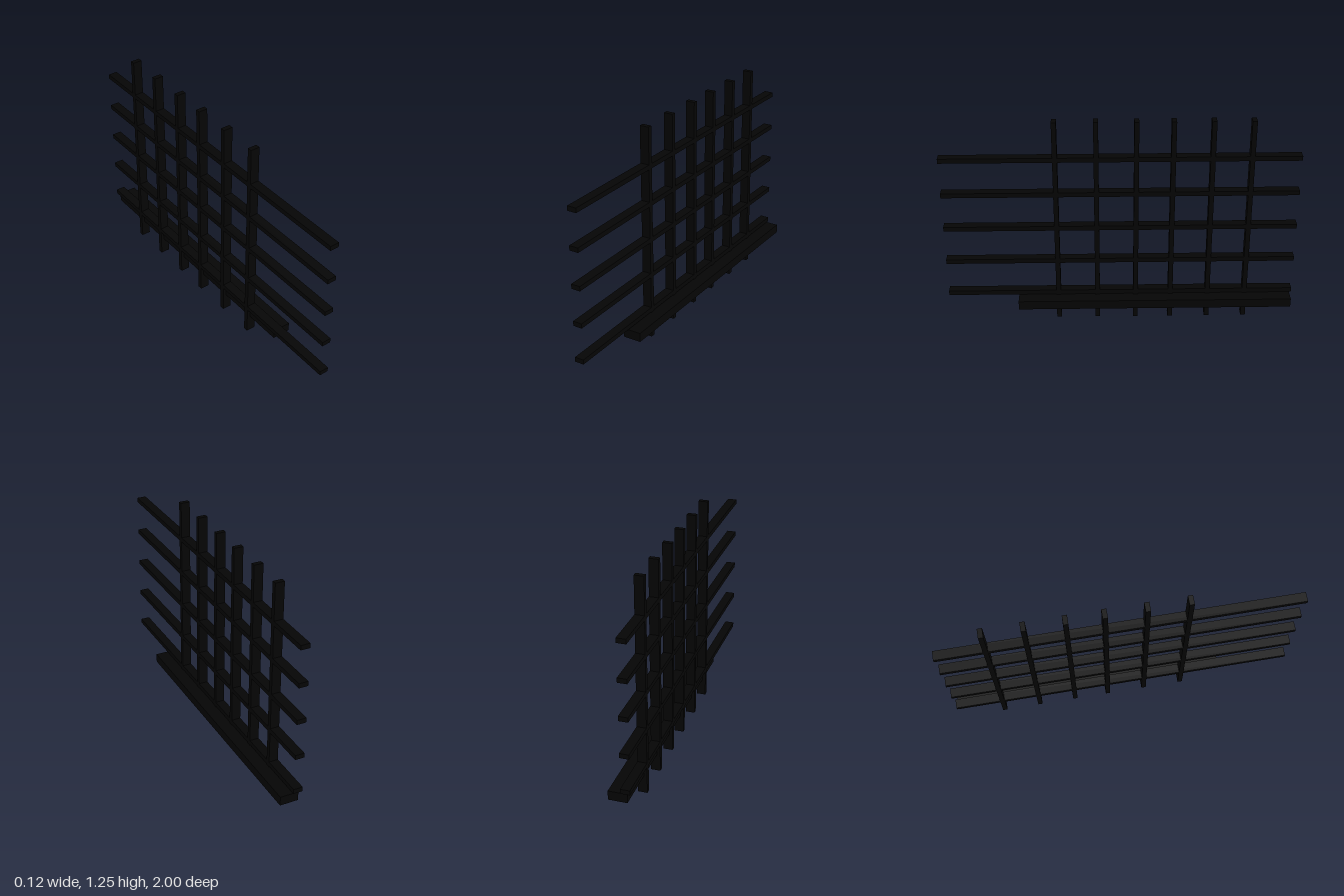
import * as THREE from 'three';

const BAR_DEPTH = 0.053; // along x
const BAR_THICK = 0.027;
const BAR_X = -0.0355;
const HEIGHT = 1.253;

export function createModel() {
  const group = new THREE.Group();
  const material = new THREE.MeshStandardMaterial({ color: 0x050505 });

  const addBox = (name, size, position) => {
    const mesh = new THREE.Mesh(new THREE.BoxGeometry(...size), material);
    mesh.name = name;
    mesh.position.set(...position);
    group.add(mesh);
  };

  // Upright slats, slightly uneven in spacing
  [0.361, 0.134, -0.088, -0.291, -0.508, -0.725].forEach((z, i) =>
    addBox(`uprightSlat${i + 1}`, [BAR_DEPTH, HEIGHT, BAR_THICK], [BAR_X, HEIGHT / 2, z]));

  // Evenly spaced long rails, flush with the slats
  for (let i = 0; i < 5; i++) {
    addBox(`rail${i + 1}`, [BAR_DEPTH, BAR_THICK, 2], [BAR_X, 0.174 + i * 0.2138, 0]);
  }

  // Thick ledge beam running through the slats below the lowest rail
  addBox('ledgeBeam', [0.106, 0.053, 1.582], [0.009, 0.129, -0.199]);

  return group;
}
